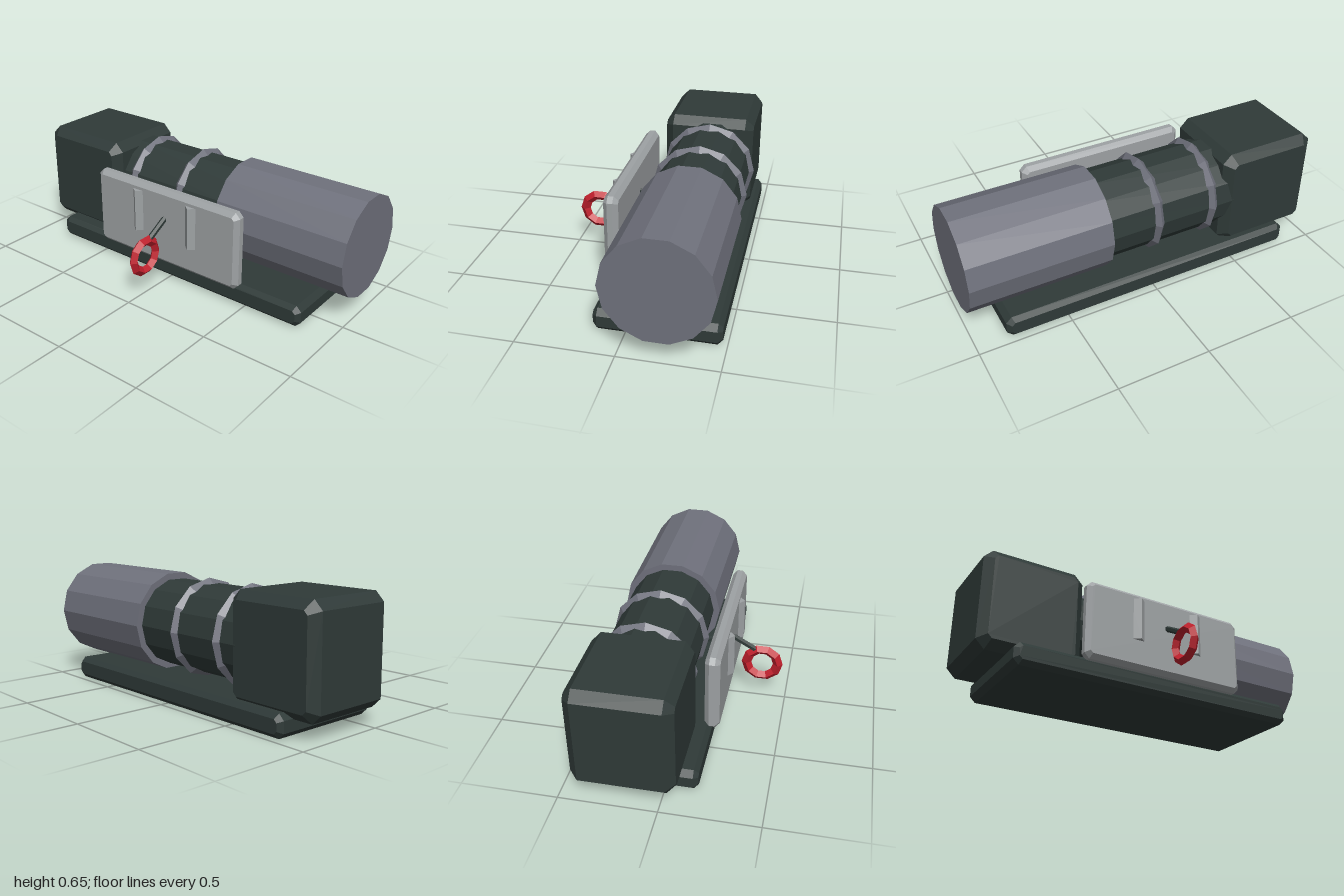
import * as THREE from 'three';

const mat = (name, color) => {
  const m = new THREE.MeshStandardMaterial({ color, flatShading: true });
  m.name = name;
  return m;
};

export function createModel() {
  const group = new THREE.Group();
  const dark = mat('darkGreenGrey', 0x2f3a38);
  const steel = mat('steelGrey', 0x6f717c);
  const plate = mat('lightGrey', 0x9ea2a4);
  const red = mat('red', 0xc01f2c);

  const add = (name, geometry, material, x = 0, y = 0, z = 0) => {
    const m = new THREE.Mesh(geometry, material);
    m.name = name;
    m.position.set(x, y, z);
    group.add(m);
    return m;
  };

  // Block with cut corners and a single bevel on its front and back faces
  const block = (x0, x1, y0, y1, z0, z1, bevel, cut) => {
    const hw = (x1 - x0) / 2 - bevel, hh = (y1 - y0) / 2 - bevel;
    const c = cut - 0.586 * bevel;
    const shape = new THREE.Shape([
      [hw - c, -hh], [hw, c - hh], [hw, hh - c], [hw - c, hh],
      [c - hw, hh], [-hw, hh - c], [-hw, c - hh], [c - hw, -hh],
    ].map(([x, y]) => new THREE.Vector2(x, y)));
    const depth = z1 - z0 - 2 * bevel;
    const g = new THREE.ExtrudeGeometry(shape, {
      depth, bevelEnabled: true, bevelSize: bevel, bevelThickness: bevel, bevelSegments: 1,
    });
    return g.translate((x0 + x1) / 2, (y0 + y1) / 2, z0 + bevel);
  };

  // Base, end housing and front panel
  add('base', block(-0.84, 0.835, 0, 0.12, -0.476, 0.162, 0.024, 0.03), dark);
  add('endHousing', block(-1, -0.44, 0.087, 0.645, -0.436, 0.082, 0.046, 0.048), dark);
  add('frontPanel', block(-0.483, 0.477, 0.102, 0.542, 0.124, 0.202, 0.024, 0.028), plate);

  // Barrels along x
  const axisY = 0.38, axisZ = -0.197;
  const barrel = (name, r, x0, x1, material) => {
    const g = new THREE.CylinderGeometry(r, r, x1 - x0, 14).rotateZ(Math.PI / 2);
    add(name, g, material, (x0 + x1) / 2, axisY, axisZ);
  };
  barrel('innerBarrel', 0.24, -0.5, 0.26, dark);
  barrel('outerBarrel', 0.275, 0.24, 1, steel);

  // Raised bands with a diamond section
  for (const x of [-0.365, -0.04]) {
    add('band', new THREE.TorusGeometry(0.235, 0.031, 4, 12).rotateY(Math.PI / 2), steel, x, axisY, axisZ);
  }

  // Ridges on the panel
  const ridge = new THREE.Shape([
    new THREE.Vector2(-0.05, 0.012), new THREE.Vector2(0.05, 0.012), new THREE.Vector2(0, -0.03),
  ]);
  for (const x of [-0.18, 0.18]) {
    const g = new THREE.ExtrudeGeometry(ridge, { depth: 0.238, bevelEnabled: false }).rotateX(-Math.PI / 2);
    add('panelRidge', g, plate, x, 0.263, 0.2);
  }

  // Bent pin through the panel
  const rod = (name, y0, z0, y1, z1) => {
    const length = Math.hypot(y1 - y0, z1 - z0);
    const g = new THREE.CylinderGeometry(0.016, 0.016, length, 6);
    const m = add(name, g, dark, 0, (y0 + y1) / 2, (z0 + z1) / 2);
    m.rotation.x = Math.atan2(z1 - z0, y1 - y0);
  };
  rod('pinInner', 0.33, 0.03, 0.385, 0.185);
  rod('pinOuter', 0.39, 0.175, 0.305, 0.325);

  // Pull ring
  const ring = new THREE.TorusGeometry(0.0875, 0.0275, 4, 10).scale(1, 1, 0.9).rotateY(Math.PI / 2);
  add('pullRing', ring, red, 0, 0.222, 0.362);

  return group;
}
